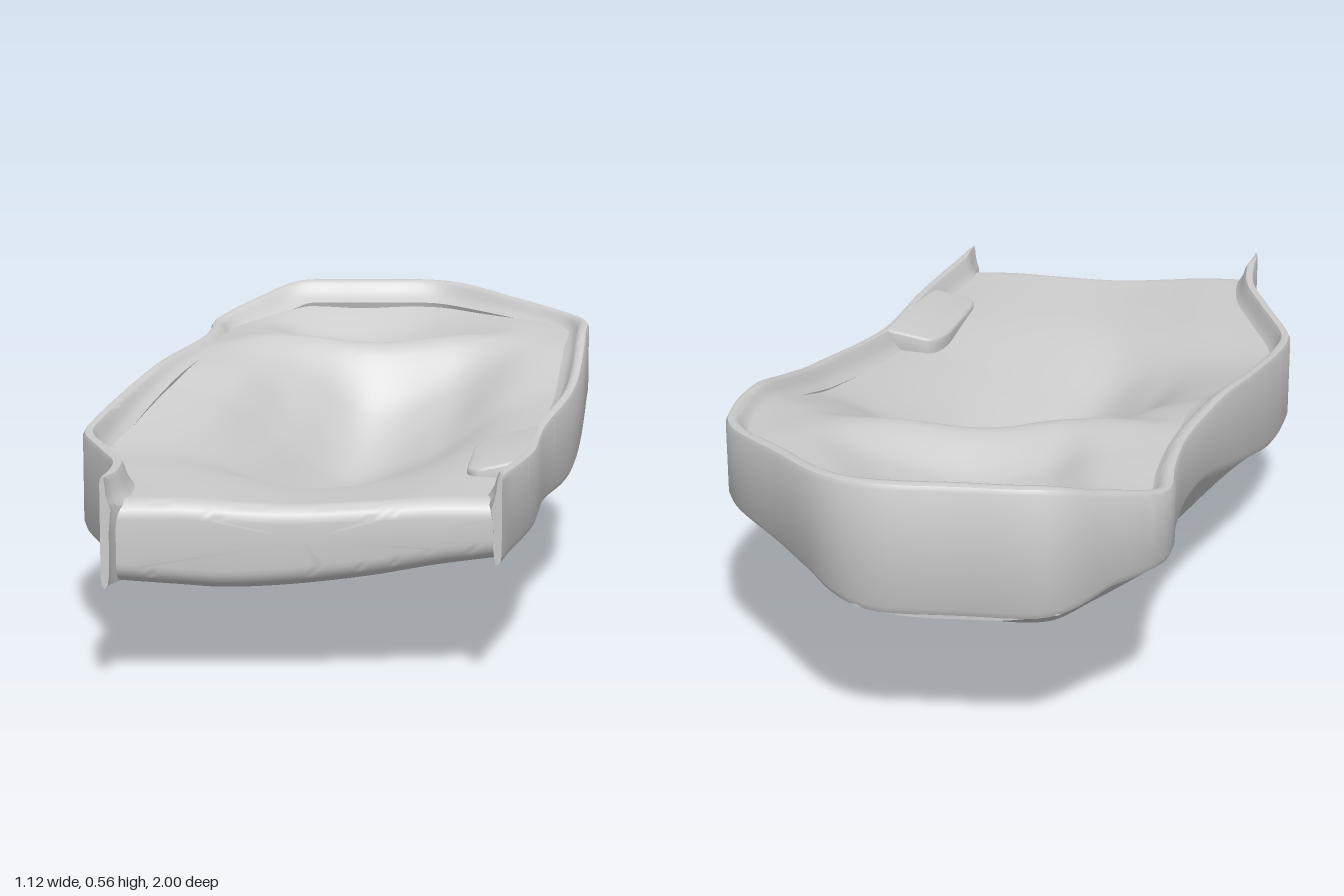
import * as THREE from 'three';
import { toCreasedNormals } from 'three/addons/utils/BufferGeometryUtils.js';

const { smoothstep, lerp } = THREE.MathUtils;

// Smooth interpolation through (xs, ys), xs ascending
function interp(xs, ys, x) {
  const n = xs.length;
  if (x <= xs[0]) return ys[0];
  if (x >= xs[n - 1]) return ys[n - 1];
  let i = 0;
  while (x > xs[i + 1]) i++;
  const slope = (k) => {
    const a = Math.max(0, k - 1), b = Math.min(n - 1, k + 1);
    return (ys[b] - ys[a]) / (xs[b] - xs[a]);
  };
  const h = xs[i + 1] - xs[i], t = (x - xs[i]) / h, t2 = t * t, t3 = t2 * t;
  return (2 * t3 - 3 * t2 + 1) * ys[i] + (t3 - 2 * t2 + t) * h * slope(i)
    + (3 * t2 - 2 * t3) * ys[i + 1] + (t3 - t2) * h * slope(i + 1);
}

// Skin closed rings of points and cap both ends
function loft(rings, crease) {
  const n = rings[0].length, pos = [], idx = [];
  rings.forEach((r) => r.forEach((p) => pos.push(...p)));
  for (let i = 0; i < rings.length - 1; i++) {
    for (let j = 0; j < n; j++) {
      const a = i * n + j, b = i * n + (j + 1) % n;
      idx.push(a, b, b + n, a, b + n, a + n);
    }
  }
  [0, rings.length - 1].forEach((k) => {
    const c = pos.length / 3;
    pos.push(...[0, 1, 2].map((d) => rings[k].reduce((s, p) => s + p[d], 0) / n));
    for (let j = 0; j < n; j++) {
      const a = k * n + j, b = k * n + (j + 1) % n;
      if (k === 0) idx.push(c, b, a); else idx.push(c, a, b);
    }
  });
  const g = new THREE.BufferGeometry();
  g.setAttribute('position', new THREE.Float32BufferAttribute(pos, 3));
  g.setIndex(idx);
  return toCreasedNormals(g, crease);
}

// Plan outline [x, z]: left side front to back, then right side back to front
const OUTLINE = [[-0.48, 0.995], [-0.475, 0.78], [-0.51, 0.62], [-0.56, 0.4], [-0.55, 0.29], [-0.485, 0],
  [-0.41, -0.27], [-0.355, -0.5], [-0.34, -0.65], [-0.33, -0.8], [-0.23, -0.92], [-0.13, -0.993],
  [0.05, -1], [0.22, -0.993], [0.3, -0.95], [0.42, -0.79], [0.545, -0.6], [0.56, -0.5], [0.54, -0.32],
  [0.48, 0.02], [0.385, 0.35], [0.335, 0.65], [0.245, 0.995]];
const PATH = new THREE.CatmullRomCurve3(
  OUTLINE.map(([x, z]) => new THREE.Vector3(x, 0, z)), false, 'centripetal');
const DENSE = PATH.getPoints(22 * 16);
const LEFT = DENSE.slice(0, 12 * 16 + 1), RIGHT = DENSE.slice(12 * 16).reverse();

// Outline x at s = -z
function edge(pts, s) {
  const i = Math.max(1, pts.findIndex((p) => -p.z >= s));
  const a = pts[i - 1], b = pts[i];
  return lerp(a.x, b.x, (s + a.z) / (a.z - b.z));
}

// Per side: wall top, wall foot and depth of the floor below the rim
const RIM_S = [-1, -0.6, -0.35, 0, 0.18, 0.35, 0.6, 0.8, 0.92, 1];
const RIM_L = [0.39, 0.385, 0.39, 0.435, 0.46, 0.47, 0.48, 0.49, 0.53, 0.565];
const RIM_R = [0.39, 0.38, 0.385, 0.425, 0.465, 0.505, 0.515, 0.54, 0.555, 0.565];
const FOOT_S = [-1, -0.35, -0.15, 0, 0.2, 0.34, 0.5, 0.9, 0.96, 1];
const FOOT_L = [0.185, 0.185, 0.2, 0.235, 0.285, 0.32, 0.33, 0.335, 0.315, 0.3];
const FOOT_R = [0.225, 0.225, 0.225, 0.245, 0.3, 0.332, 0.34, 0.34, 0.32, 0.3];
const LIP_S = [-1, -0.3, 0, 0.4, 0.7, 1];
const LIP_L = [0.05, 0.045, 0.03, 0.015, 0.025, 0.045];
const LIP_R = [0.05, 0.045, 0.04, 0.03, 0.03, 0.045];
const LEFT_SIDE = [RIM_L, FOOT_L, LIP_L], RIGHT_SIDE = [RIM_R, FOOT_R, LIP_R];
const sideAt = (side, s) => [RIM_S, FOOT_S, LIP_S].map((xs, k) => interp(xs, side[k], s));

// Inner heights across the body (columns U) at stations S, front to back
const U = [0, 0.17, 0.29, 0.46, 0.66, 0.83, 1];
const S = [-0.96, -0.6, -0.3, 0.07, 0.22, 0.34, 0.44, 0.6, 0.8, 0.92, 0.985];
const FLOOR = [
  [0.34, 0.335, 0.33, 0.335, 0.34],
  [0.34, 0.325, 0.3, 0.31, 0.335],
  [0.335, 0.3, 0.235, 0.27, 0.32],
  [0.38, 0.295, 0.195, 0.25, 0.345],
  [0.42, 0.335, 0.225, 0.29, 0.4],
  [0.45, 0.41, 0.32, 0.36, 0.445],
  [0.485, 0.48, 0.46, 0.475, 0.475],
  [0.475, 0.43, 0.41, 0.445, 0.49],
  [0.475, 0.445, 0.425, 0.445, 0.485],
  [0.5, 0.495, 0.49, 0.495, 0.5],
  [0.52, 0.52, 0.52, 0.52, 0.52]];
const HULL = [
  [0.18, 0.175, 0.18, 0.195, 0.215],
  [0.175, 0.158, 0.16, 0.18, 0.2],
  [0.14, 0.09, 0.11, 0.16, 0.195],
  [0.085, 0.003, 0.07, 0.16, 0.21],
  [0.12, 0.03, 0.09, 0.175, 0.23],
  [0.16, 0.06, 0.11, 0.185, 0.25],
  [0.19, 0.09, 0.125, 0.195, 0.26],
  [0.22, 0.135, 0.15, 0.2, 0.26],
  [0.26, 0.21, 0.21, 0.23, 0.27],
  [0.285, 0.265, 0.265, 0.27, 0.29],
  [0.3, 0.295, 0.295, 0.295, 0.3]];
const rowAt = (table, s) => table[0].map((_, c) => interp(S, table.map((r) => r[c]), s));

// One cross-section of the body; round pulls top and bottom together
function bodyRing(s, round) {
  const N = 56, up = [], down = [];
  const [tL, bL, lipL] = sideAt(LEFT_SIDE, s), [tR, bR, lipR] = sideAt(RIGHT_SIDE, s);
  const floor = [tL - lipL, ...rowAt(FLOOR, s), tR - lipR];
  const hull = [bL + 0.004, ...rowAt(HULL, s), bR + 0.004];
  const xL = edge(LEFT, s) + 0.012, xR = edge(RIGHT, s) - 0.012;
  for (let j = 0; j <= N; j++) {
    const u = j / N, x = lerp(xL, xR, u);
    up.push([x, interp(U, floor, u) - round, -s]);
    down.unshift([x, interp(U, hull, u) + round, -s]);
  }
  return [...up, ...down];
}

// Floor and underside in one skin, with a rounded front lip
function makeBody() {
  const rings = [], r = 0.035, M = 110;
  for (let k = 0; k < 6; k++) {
    const a = (k / 6) * Math.PI / 2;
    rings.push(bodyRing(-0.925 - r * Math.cos(a), r * (1 - Math.sin(a))));
  }
  for (let i = 0; i <= M; i++) rings.push(bodyRing(lerp(-0.925, 0.985, i / M), 0));
  return loft(rings, 0.9);
}

// Side wall: a rounded section swept around the open-fronted outline
function makeWall() {
  const rings = [], N = 220;
  for (let i = 0; i <= N; i++) {
    const p = PATH.getPointAt(i / N), d = PATH.getTangentAt(i / N), s = -p.z;
    const mix = smoothstep(p.x, -0.13, 0.22), right = sideAt(RIGHT_SIDE, s);
    const [t, b, lip] = sideAt(LEFT_SIDE, s).map((v, k) => lerp(v, right[k], mix));
    // Thin at the front ends, broader around the back
    const w = (1 - 0.65 * smoothstep(p.z, 0.9, 0.99)) * (1 + 0.3 * smoothstep(s, 0.5, 0.95));
    const section = [[0.016, b], [0.005, b + 0.006], [0, b + 0.02], [0, t - 0.012], [0.004, t - 0.003],
      [0.012, t], [0.02, t - 0.002], [0.026, t - lip * 0.25], [0.031, t - lip * 0.6], [0.042, t - lip * 0.95],
      [0.056, t - lip * 1.2], [0.045, t - 0.1], [0.045, b + 0.03], [0.035, b + 0.003]];
    rings.push(section.map(([o, y]) => [p.x - d.z * o * w, y, p.z + d.x * o * w]));
  }
  return loft(rings, 0.7);
}

// Low ledge sloping up to the right-hand rim
function makeLedge() {
  const shape = new THREE.Shape();
  shape.moveTo(0.31, 0.69);
  shape.lineTo(0.23, 0.69);
  shape.quadraticCurveTo(0.205, 0.69, 0.21, 0.64);
  shape.lineTo(0.235, 0.45);
  shape.quadraticCurveTo(0.25, 0.355, 0.28, 0.35);
  shape.lineTo(0.365, 0.35);
  shape.closePath();
  const g = new THREE.ExtrudeGeometry(shape, { depth: 0.05, bevelSize: 0.006, bevelThickness: 0.006,
    bevelSegments: 3, curveSegments: 8 });
  g.rotateX(Math.PI / 2).translate(0, 0.344, 0);
  const pos = g.attributes.position;
  for (let i = 0; i < pos.count; i++) pos.setY(i, pos.getY(i) + (pos.getX(i) - 0.21) * 0.22);
  return toCreasedNormals(g, 0.6);
}

export function createModel() {
  const group = new THREE.Group();
  const material = new THREE.MeshStandardMaterial({ color: 0xcccccc });
  const add = (name, geometry) => {
    const mesh = new THREE.Mesh(geometry, material);
    mesh.name = name;
    group.add(mesh);
  };
  add('contouredBody', makeBody());
  add('sideWall', makeWall());
  add('rimLedge', makeLedge());
  return group;
}
